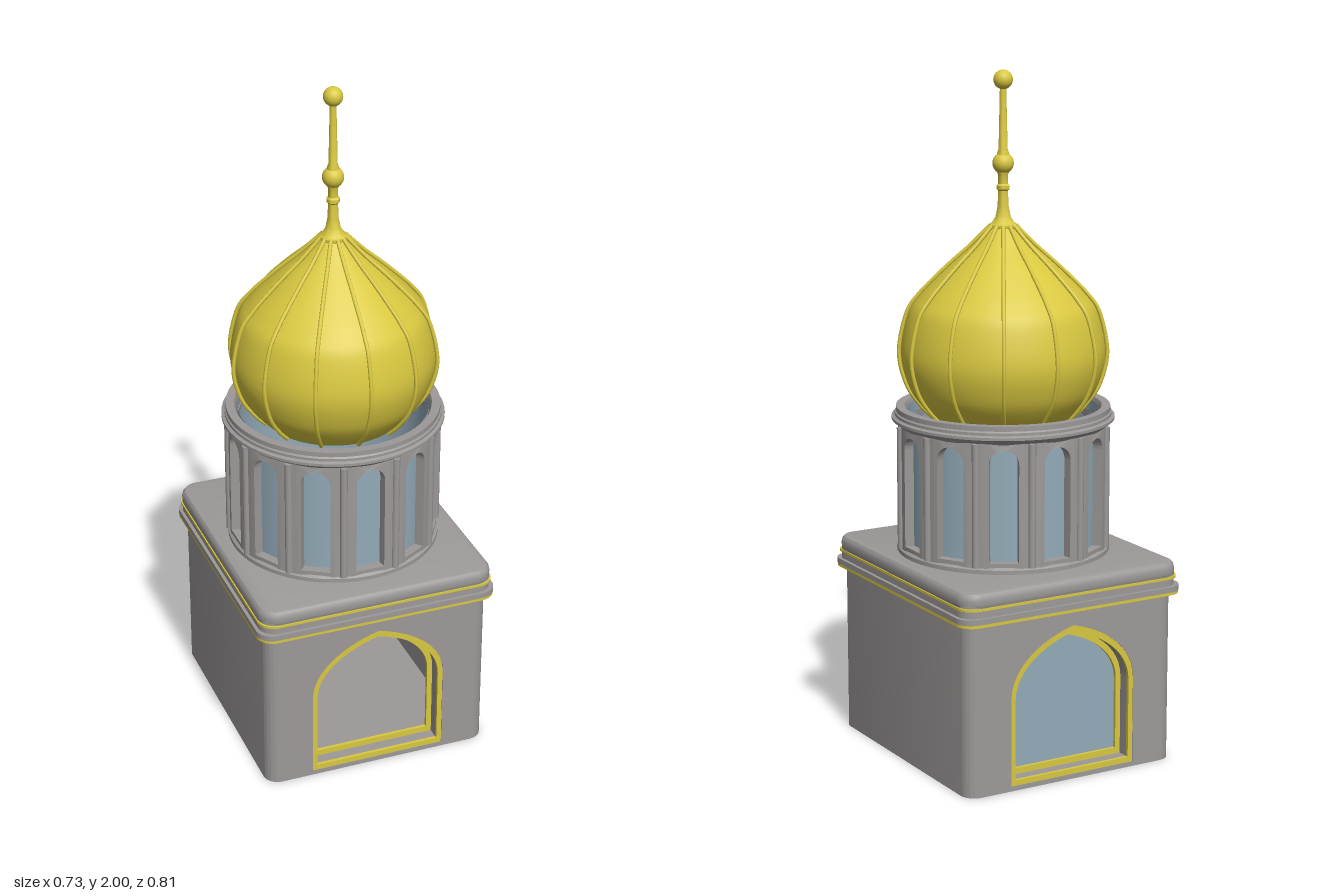
import * as THREE from 'three';
import { toCreasedNormals } from 'three/addons/utils/BufferGeometryUtils.js';

const stone = new THREE.MeshStandardMaterial({ color: 0x9d9999 });
stone.name = 'stone';
const gold = new THREE.MeshStandardMaterial({ color: 0xd9c840 });
gold.name = 'gold';
const glass = new THREE.MeshStandardMaterial({ color: 0x93abb8, side: THREE.DoubleSide });
glass.name = 'glass';

const HX = 0.345, HZ = 0.385, WALL = 0.055; // base half sizes and wall thickness

function add(parent, name, geometry, material, x = 0, y = 0, z = 0) {
  const mesh = new THREE.Mesh(geometry, material);
  mesh.name = name;
  mesh.position.set(x, y, z);
  parent.add(mesh);
  return mesh;
}

const extrude = (shape, depth, options = {}) => toCreasedNormals(
  new THREE.ExtrudeGeometry(shape, { depth, bevelEnabled: false, curveSegments: 12, ...options }), 0.5);

const lathe = (points, segments = 64) => toCreasedNormals(
  new THREE.LatheGeometry(points.map(([r, y]) => new THREE.Vector2(r, y)), segments), 0.6);

function roundedRect(hx, hz, r) {
  const s = new THREE.Shape();
  s.absarc(hx - r, hz - r, r, 0, Math.PI / 2);
  s.absarc(-hx + r, hz - r, r, Math.PI / 2, Math.PI);
  s.absarc(-hx + r, -hz + r, r, Math.PI, Math.PI * 1.5);
  s.absarc(hx - r, -hz + r, r, Math.PI * 1.5, Math.PI * 2);
  s.closePath();
  return s;
}

// Horizontal slab that overhangs the base walls by a given amount
function slab(parent, name, over, y0, y1, material) {
  const g = extrude(roundedRect(HX + over, HZ + over, 0.05), y1 - y0);
  add(parent, name, g.rotateX(-Math.PI / 2), material, 0, y0, 0);
}

// Pointed doorway outline
function pointedArch(w, bottom, spring, apex) {
  const s = new THREE.Shape(), h = apex - spring;
  s.moveTo(-w, bottom);
  s.lineTo(w, bottom);
  s.lineTo(w, spring);
  s.bezierCurveTo(w, spring + 0.52 * h, 0.5 * w, apex - 0.14 * h, 0, apex);
  s.bezierCurveTo(-0.5 * w, apex - 0.14 * h, -w, spring + 0.52 * h, -w, spring);
  s.closePath();
  return s;
}

function archRing(outer, inner, depth) {
  const s = pointedArch(...outer);
  s.holes.push(pointedArch(...inner));
  return extrude(s, depth);
}

function buildBase() {
  const base = new THREE.Group();
  base.name = 'base';
  const opening = [0.205, 0.014, 0.27, 0.46];
  const middle = [0.19, 0.03, 0.265, 0.44];
  const inner = [0.174, 0.048, 0.26, 0.422];
  const inX = HX - WALL;

  slab(base, 'floor', -0.001, 0, 0.014, stone);

  // Side walls with rounded outer corners
  for (const side of [1, -1]) {
    const r = 0.045, s = new THREE.Shape();
    s.moveTo(inX, -HZ);
    s.lineTo(HX - r, -HZ);
    s.absarc(HX - r, -HZ + r, r, -Math.PI / 2, 0);
    s.absarc(HX - r, HZ - r, r, 0, Math.PI / 2);
    s.lineTo(inX, HZ);
    s.closePath();
    const g = extrude(s, 0.51).rotateX(-Math.PI / 2);
    if (side < 0) g.rotateY(Math.PI);
    add(base, 'sideWall', g, stone);
  }

  // Front and back walls with a stepped gold doorway
  for (const side of [1, -1]) {
    const wall = new THREE.Group();
    wall.name = side > 0 ? 'frontWall' : 'backWall';
    const s = new THREE.Shape();
    s.moveTo(-inX, 0);
    s.lineTo(inX, 0);
    s.lineTo(inX, 0.51);
    s.lineTo(-inX, 0.51);
    s.closePath();
    s.holes.push(pointedArch(...opening));
    add(wall, 'archedWall', extrude(s, WALL), stone, 0, 0, HZ - WALL);
    add(wall, 'outerDoorFrame', archRing(opening, middle, 0.01), gold, 0, 0, HZ - 0.012);
    add(wall, 'doorReveal', archRing(opening, middle, 0.033), stone, 0, 0, HZ - 0.045);
    add(wall, 'innerDoorFrame', archRing(opening, inner, 0.01), gold, 0, 0, HZ - WALL);
    if (side < 0) {
      wall.rotation.y = Math.PI;
      add(wall, 'doorGlass', new THREE.ShapeGeometry(pointedArch(...middle)), glass, 0, 0, HZ - WALL - 0.003);
    }
    base.add(wall);
  }

  // Cornice layers
  slab(base, 'lowerGoldBand', 0.021, 0.505, 0.514, gold);
  slab(base, 'corniceLedge', 0.022, 0.514, 0.53, stone);
  slab(base, 'corniceNeck', 0.012, 0.53, 0.551, stone);
  slab(base, 'upperGoldBand', 0.016, 0.551, 0.558, gold);
  const top = extrude(roundedRect(HX - 0.003, HZ - 0.003, 0.04), 0.015,
    { bevelEnabled: true, bevelThickness: 0.02, bevelSize: 0.017, bevelSegments: 3 });
  add(base, 'roofSlab', top.rotateX(-Math.PI / 2), stone, 0, 0.565, 0);
  slab(base, 'roofSlabFoot', 0.012, 0.558, 0.575, stone);
  return base;
}

function buildDrum() {
  const drum = new THREE.Group();
  drum.name = 'drum';
  const R = 0.308, T = 0.028, y0 = 0.6, y1 = 0.99, half = 0.055;

  // Window panel, bent around the drum axis
  const s = new THREE.Shape();
  s.moveTo(-half, y0);
  s.lineTo(half, y0);
  s.lineTo(half, y1);
  s.lineTo(-half, y1);
  s.closePath();
  const w = 0.043, hole = new THREE.Path();
  hole.moveTo(-w, 0.63);
  hole.lineTo(w, 0.63);
  hole.lineTo(w, 0.917);
  hole.absarc(0, 0.917, w, 0, Math.PI);
  hole.closePath();
  s.holes.push(hole);
  const panel = extrude(s, T);
  const p = panel.attributes.position;
  for (let i = 0; i < p.count; i++) {
    const a = p.getX(i) / R, r = R - T + p.getZ(i);
    p.setXYZ(i, r * Math.sin(a), p.getY(i), r * Math.cos(a));
  }
  const windowPanel = toCreasedNormals(panel, 0.5);

  // Pier between two windows
  const a0 = half / R, step = Math.PI / 6;
  const pier = toCreasedNormals(new THREE.LatheGeometry(
    [[R, y0], [R, y1], [R - T, y1], [R - T, y0]].map(([r, y]) => new THREE.Vector2(r, y)),
    4, a0, step - 2 * a0), 0.6);
  const column = new THREE.CylinderGeometry(0.011, 0.011, 0.36, 12);

  for (let i = 0; i < 12; i++) {
    const a = i * step, b = a + step / 2;
    add(drum, 'windowPanel', windowPanel, stone).rotation.y = a;
    add(drum, 'pier', pier, stone).rotation.y = a;
    add(drum, 'column', column, stone, R * Math.sin(b), 0.797, R * Math.cos(b));
  }

  add(drum, 'windowGlass', new THREE.CylinderGeometry(0.279, 0.279, 0.42, 64, 1, true), glass, 0, 0.81, 0);
  add(drum, 'drumFoot', lathe([[0.313, 0.6], [0.313, 0.612], [0.305, 0.618]]), stone);
  add(drum, 'drumCornice', lathe([[0.305, 0.975], [0.314, 0.985], [0.326, 0.992], [0.326, 1.0],
    [0.317, 1.004], [0.317, 1.012], [0.313, 1.016], [0.313, 1.03], [0.288, 1.03], [0.281, 1.015], [0.281, 0.98]]), stone);
  return drum;
}

function buildDome() {
  const dome = new THREE.Group();
  dome.name = 'dome';
  const profile = new THREE.SplineCurve([[0.2, 0.99], [0.238, 1.03], [0.276, 1.09], [0.297, 1.185], [0.274, 1.3],
    [0.238, 1.355], [0.19, 1.405], [0.14, 1.452], [0.086, 1.5], [0.03, 1.557]].map(([x, y]) => new THREE.Vector2(x, y)));
  const points = profile.getPoints(48);
  add(dome, 'domeShell', new THREE.LatheGeometry([new THREE.Vector2(0, 0.99), ...points], 72), gold);

  // Twelve raised ribs following the dome profile
  const path = new THREE.CatmullRomCurve3(
    profile.getPoints(24).map((q) => new THREE.Vector3(q.x + 0.006, q.y, 0)));
  const rib = new THREE.TubeGeometry(path, 48, 0.006, 8);
  for (let i = 0; i < 12; i++) add(dome, 'rib', rib, gold).rotation.y = i * Math.PI / 6;

  // Finial
  add(dome, 'finialStem', lathe([[0.03, 1.54], [0.04, 1.55], [0.04, 1.558], [0.032, 1.564], [0.022, 1.58],
    [0.016, 1.61], [0.014, 1.655], [0.019, 1.66], [0.019, 1.67], [0.014, 1.675], [0.014, 1.7],
    [0.018, 1.71], [0.018, 1.76], [0.013, 1.775], [0.009, 1.96]], 24), gold);
  add(dome, 'finialLowerBall', new THREE.SphereGeometry(0.031, 24, 16), gold, 0, 1.734, 0);
  add(dome, 'finialTopBall', new THREE.SphereGeometry(0.028, 24, 16), gold, 0, 1.972, 0);
  return dome;
}

export function createModel() {
  const model = new THREE.Group();
  model.name = 'domedTower';
  const tower = new THREE.Group();
  tower.name = 'tower';
  tower.position.z = 0.009;
  tower.add(buildDrum(), buildDome());
  model.add(buildBase(), tower);
  return model;
}
